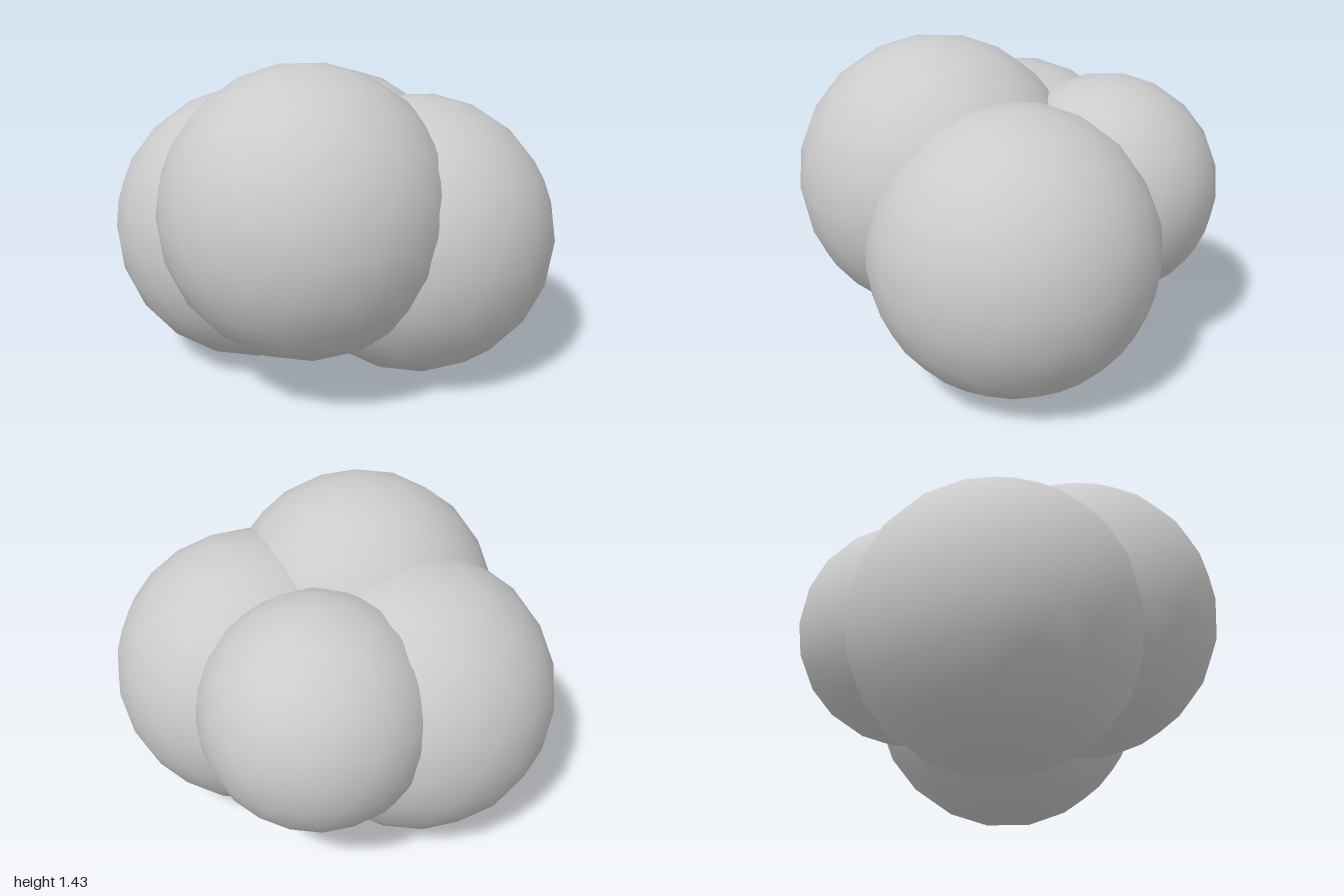
import * as THREE from 'three';

// Icosphere with a vertex at each pole: every pass splits each face in four
// and pushes the new corners out to the sphere.
function icosphere(radius, passes = 2) {
  const phi = (1 + Math.sqrt(5)) / 2;
  let geo = new THREE.IcosahedronGeometry(radius, 0).rotateZ(-Math.atan(1 / phi));
  for (let i = 0; i < passes; i++) {
    const pos = Array.from(geo.attributes.position.array);
    const faces = Array.from({ length: pos.length / 3 }, (_, k) => k);
    geo = new THREE.PolyhedronGeometry(pos, faces, radius, 1); // smooth normals
  }
  return geo;
}

export function createModel() {
  const group = new THREE.Group();
  group.name = 'sphereCluster';
  const material = new THREE.MeshStandardMaterial({ color: 0xcccccc });

  const addBall = (name, radius, x, y, z) => {
    const ball = new THREE.Mesh(icosphere(radius), material);
    ball.name = name;
    ball.position.set(x, y, z);
    group.add(ball);
  };

  // Two large balls side by side on the ground
  addBall('leftBall', 0.625, 0.375, 0.625, -0.03);
  addBall('rightBall', 0.625, -0.375, 0.625, -0.03);
  // Raised large ball in front and smaller ball behind
  addBall('frontBall', 0.625, -0.045, 0.81, 0.31);
  addBall('backBall', 0.505, -0.04, 0.76, -0.435);

  return group;
}
